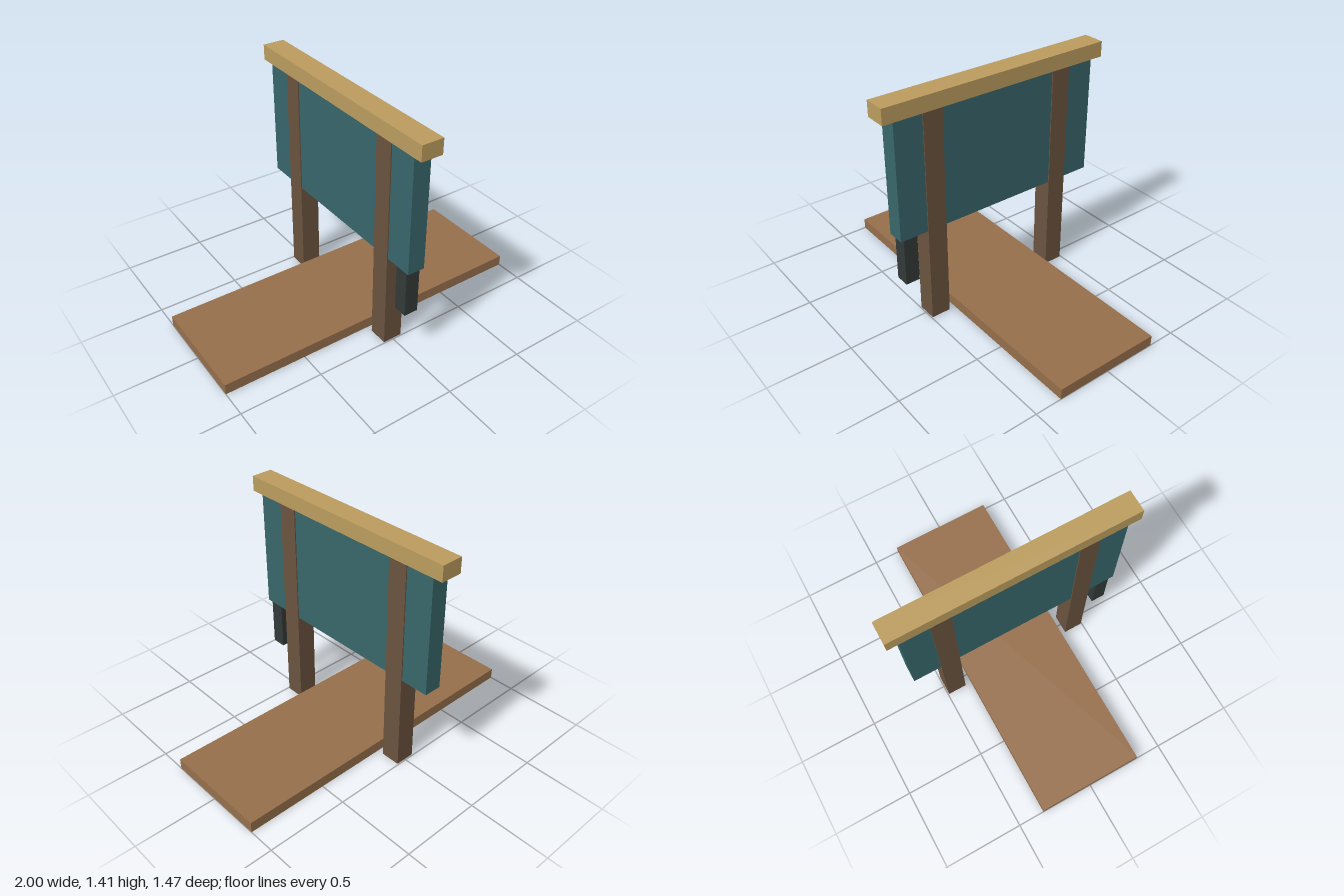
import * as THREE from 'three';

export function createModel() {
  const group = new THREE.Group();
  const material = (color) => new THREE.MeshStandardMaterial({ color, flatShading: true });
  const wood = material(0x966f4b);
  const darkWood = material(0x6a533f);
  const paleWood = material(0xbb9c5e);
  const teal = material(0x38666a);
  const charcoal = material(0x323a38);

  // Box centred on x, standing at height y0 and centred at depth z
  function addBox(name, mat, width, y0, y1, depth, z = 0) {
    const mesh = new THREE.Mesh(new THREE.BoxGeometry(width, y1 - y0, depth), mat);
    mesh.name = name;
    mesh.position.set(0, (y0 + y1) / 2, z);
    group.add(mesh);
  }

  // Ground plank running between the posts
  addBox('basePlank', wood, 2, 0, 0.067, 0.667);

  // Upright posts, slightly thicker than the panel they carry
  addBox('frontPost', darkWood, 0.12, 0, 1.32, 0.12, 0.433);
  addBox('backPost', darkWood, 0.12, 0, 1.32, 0.12, -0.433);

  // Board panel and the cap rail above it
  addBox('panel', teal, 0.107, 0.6, 1.32, 1.333);
  addBox('capRail', paleWood, 0.133, 1.32, 1.413, 1.467);

  // Short block hanging under the front end of the panel
  addBox('hangingBlock', charcoal, 0.087, 0.3, 0.6, 0.087, 0.6);

  return group;
}
